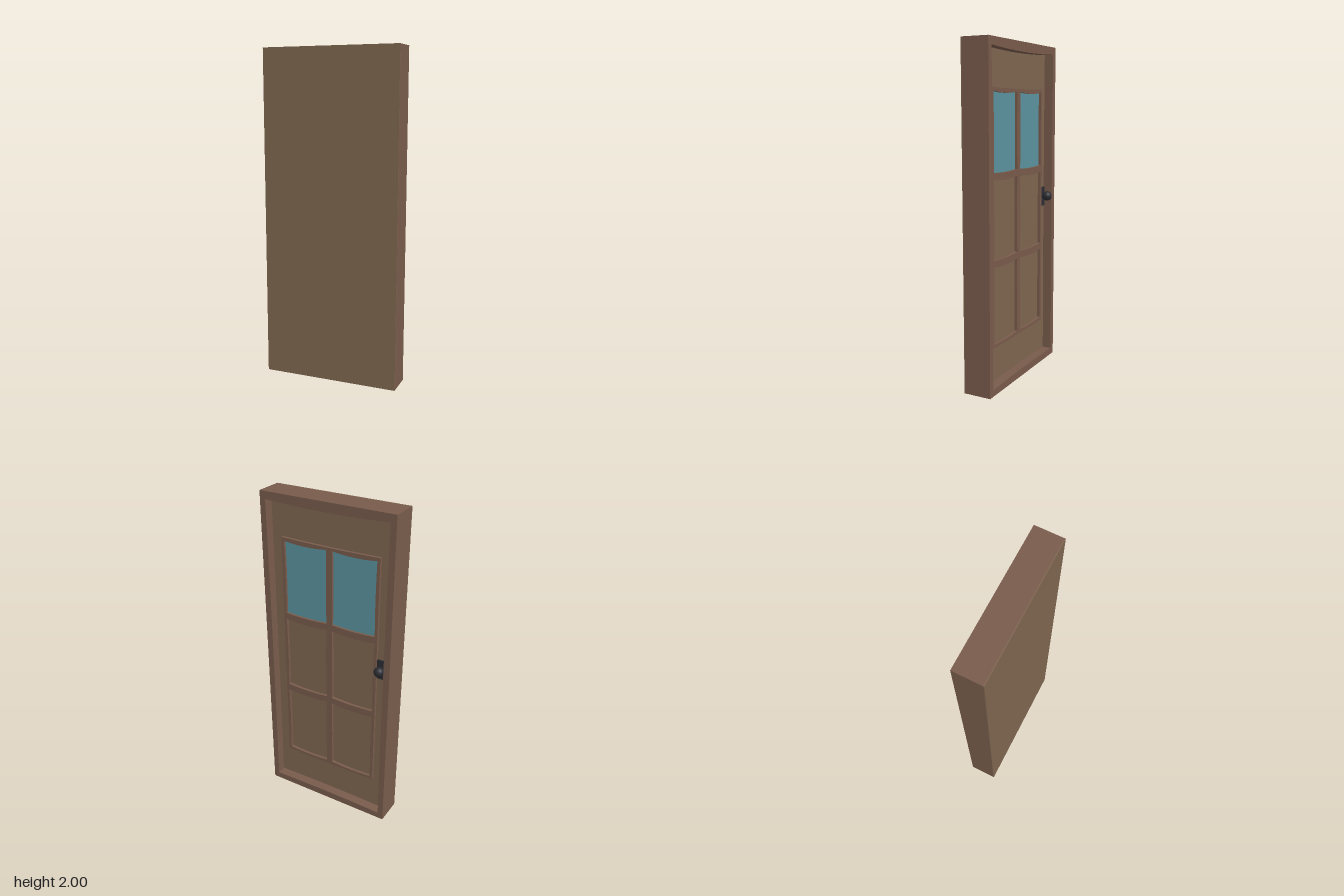
import * as THREE from 'three';

const wood = new THREE.MeshStandardMaterial({ color: 0x7d654f });
const trim = new THREE.MeshStandardMaterial({ color: 0x785b4b });
const glass = new THREE.MeshStandardMaterial({ color: 0x5a929e });
const iron = new THREE.MeshStandardMaterial({ color: 0x2b2c32 });

// Rectangle outline whose top, bottom and side edges bow by the given amounts
function outline(target, x0, y0, x1, y1, top = 0, bottom = 0, side = 0) {
  const cx = (x0 + x1) / 2, cy = (y0 + y1) / 2;
  target.moveTo(x0, y0);
  target.quadraticCurveTo(cx, y0 + 2 * bottom, x1, y0);
  target.quadraticCurveTo(x1 - 2 * side, cy, x1, y1);
  target.quadraticCurveTo(cx, y1 + 2 * top, x0, y1);
  target.quadraticCurveTo(x0 + 2 * side, cy, x0, y0);
  return target;
}

function rect(x0, y0, x1, y1) {
  return new THREE.Shape([[x0, y0], [x1, y0], [x1, y1], [x0, y1]].map(p => new THREE.Vector2(...p)));
}

export function createModel() {
  const door = new THREE.Group();
  door.name = 'door';

  function add(name, geometry, material, x = 0, y = 0, z = 0) {
    const mesh = new THREE.Mesh(geometry, material);
    mesh.name = name;
    mesh.position.set(x, y, z);
    door.add(mesh);
    return mesh;
  }
  const slab = (shape, depth) =>
    new THREE.ExtrudeGeometry(shape, { depth, bevelEnabled: false, curveSegments: 10 });

  // Outer frame with a hand-cut opening on the panelled side
  const frame = rect(-0.42, 0, 0.42, 2);
  frame.holes.push(outline(new THREE.Path(), -0.385, 0.04, 0.385, 1.955, -0.012, 0.006, 0.004));
  add('frame', slab(frame, 0.165), trim, 0, 0, -0.078);

  // Door leaf and its plain outer face
  add('leaf', new THREE.BoxGeometry(0.8, 1.95, 0.1), wood, 0, 1, 0.03);
  add('plainFace', new THREE.BoxGeometry(0.84, 2, 0.0055), wood, 0, 1, 0.0897);

  // Raised lattice with two columns and three rows of slightly bowed openings
  const lattice = outline(new THREE.Shape(), -0.315, 0.255, 0.315, 1.74, -0.005, -0.004);
  const rows = [[0.275, 0.73], [0.77, 1.23], [1.27, 1.72]];
  rows.forEach(([y0, y1], row) => {
    for (const side of [-1, 1]) {
      const x0 = side > 0 ? 0.018 : -0.298;
      lattice.holes.push(outline(new THREE.Path(), x0, y0, x0 + 0.28, y1, -0.01, -0.007, 0.003));
      // Glass fills the top row
      if (row === 2) {
        add('windowPane', new THREE.BoxGeometry(0.286, y1 - y0 + 0.02, 0.004), glass,
          x0 + 0.14, (y0 + y1) / 2, -0.021);
      }
    }
  });
  add('lattice', slab(lattice, 0.02), trim, 0, 0, -0.038);

  // Lock plate, stem and round knob
  add('lockPlate', new THREE.BoxGeometry(0.06, 0.12, 0.012), iron, -0.345, 1.065, -0.025);
  const stem = add('knobStem', new THREE.CylinderGeometry(0.013, 0.016, 0.04, 16), iron, -0.345, 1.07, -0.045);
  stem.rotation.x = Math.PI / 2;
  add('knob', new THREE.SphereGeometry(0.03, 20, 14), iron, -0.345, 1.07, -0.0625);

  return door;
}
